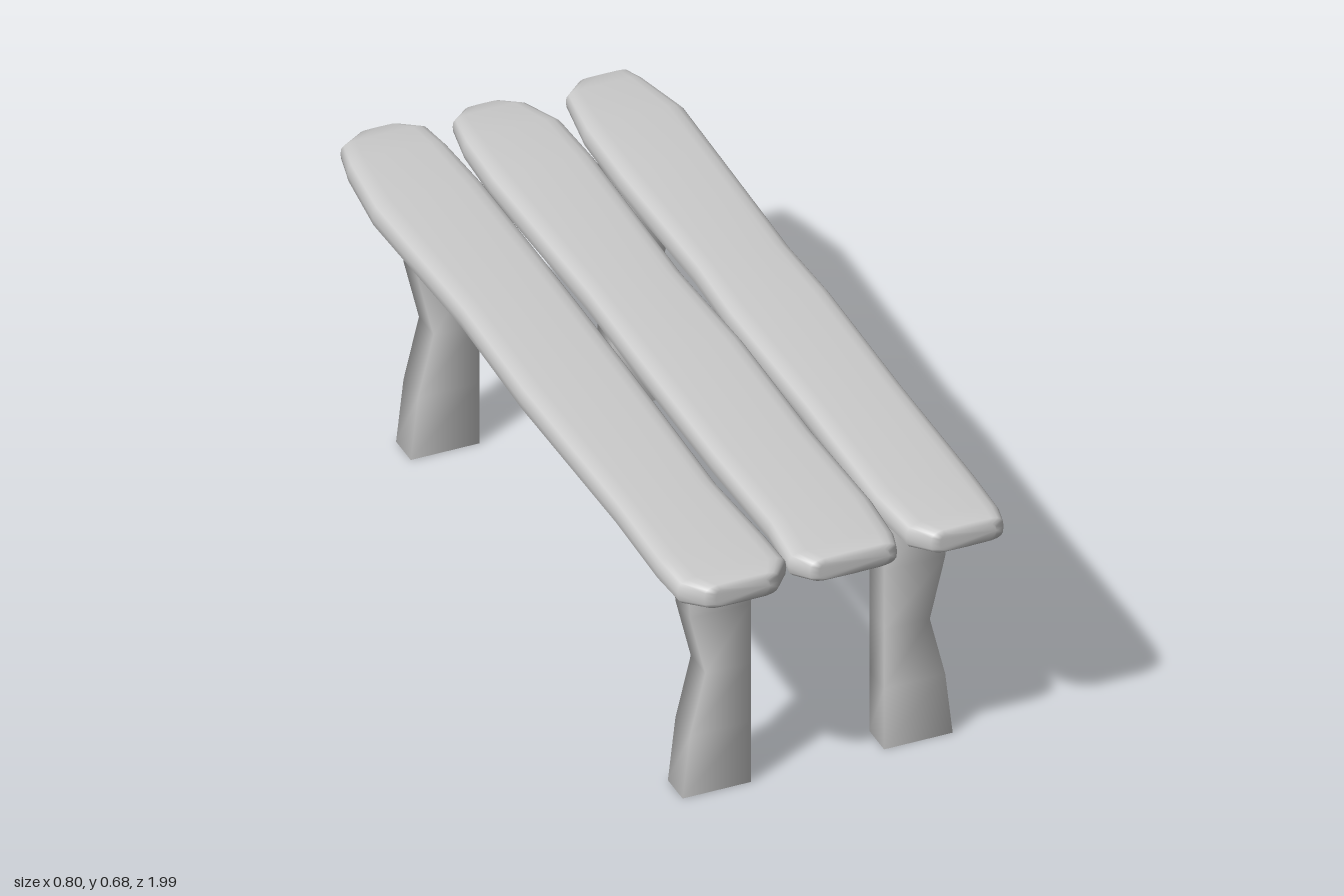
import * as THREE from 'three';

const material = new THREE.MeshStandardMaterial({ color: 0xcccccc, side: THREE.DoubleSide });

// Skin a list of equal-length closed rings, optionally closing both ends
function loft(rings, capped) {
  const n = rings[0].length;
  const pos = rings.flat(2);
  const index = [];
  for (let s = 0; s < rings.length - 1; s++) {
    for (let i = 0; i < n; i++) {
      const a = s * n + i, b = s * n + (i + 1) % n;
      index.push(a, b, b + n, a, b + n, a + n);
    }
  }
  if (capped) {
    const last = (rings.length - 1) * n;
    for (let i = 1; i < n - 1; i++) {
      index.push(0, i + 1, i);
      index.push(last, last + i, last + i + 1);
    }
  }
  const geo = new THREE.BufferGeometry();
  geo.setAttribute('position', new THREE.Float32BufferAttribute(pos, 3));
  geo.setIndex(index);
  geo.computeVertexNormals();
  return geo;
}

// Rounded slab section between the given limits
function plankRing([z, x0, x1, y0, y1]) {
  const sides = 20, ring = [];
  const soft = (v, p) => Math.sign(v) * Math.pow(Math.abs(v), p);
  for (let i = 0; i < sides; i++) {
    const t = (i / sides) * Math.PI * 2;
    ring.push([
      (x0 + x1) / 2 + soft(Math.cos(t), 0.35) * (x1 - x0) / 2,
      (y0 + y1) / 2 + soft(Math.sin(t), 0.6) * (y1 - y0) / 2,
      z,
    ]);
  }
  return ring;
}

// Plank stations: z, left edge, right edge, underside, top
const planks = {
  rightPlank: [
    [-1, -0.30, -0.20, 0.625, 0.66], [-0.96, -0.36, -0.15, 0.615, 0.668],
    [-0.88, -0.378, -0.14, 0.605, 0.674], [-0.7, -0.398, -0.13, 0.602, 0.675],
    [-0.25, -0.385, -0.13, 0.602, 0.674], [0.1, -0.396, -0.134, 0.602, 0.675],
    [0.6, -0.39, -0.145, 0.602, 0.674], [0.84, -0.396, -0.13, 0.602, 0.673],
    [0.94, -0.39, -0.128, 0.602, 0.672], [0.985, -0.345, -0.165, 0.607, 0.668],
    [0.993, -0.32, -0.19, 0.615, 0.66],
  ],
  middlePlank: [
    [-1, -0.045, 0.045, 0.625, 0.655], [-0.96, -0.09, 0.09, 0.615, 0.665],
    [-0.86, -0.108, 0.128, 0.606, 0.674], [-0.7, -0.115, 0.135, 0.603, 0.675],
    [-0.2, -0.105, 0.125, 0.603, 0.674], [0.1, -0.112, 0.138, 0.603, 0.675],
    [0.5, -0.115, 0.132, 0.603, 0.674], [0.8, -0.11, 0.14, 0.603, 0.674],
    [0.94, -0.123, 0.132, 0.604, 0.672], [0.982, -0.09, 0.12, 0.608, 0.668],
    [0.99, -0.07, 0.1, 0.615, 0.66],
  ],
  leftPlank: [
    [-1, 0.23, 0.35, 0.625, 0.655], [-0.95, 0.178, 0.365, 0.615, 0.665],
    [-0.8, 0.155, 0.397, 0.605, 0.674], [-0.6, 0.15, 0.393, 0.602, 0.675],
    [-0.2, 0.156, 0.385, 0.602, 0.674], [0, 0.146, 0.392, 0.602, 0.675],
    [0.4, 0.15, 0.386, 0.602, 0.675], [0.8, 0.145, 0.388, 0.602, 0.674],
    [0.94, 0.16, 0.385, 0.604, 0.672], [0.985, 0.2, 0.375, 0.608, 0.668],
    [0.993, 0.22, 0.355, 0.615, 0.66],
  ],
};

// Leg profile: height, distance of the waisted outer face from the middle
const legProfile = [[0, 0.325], [0.16, 0.307], [0.315, 0.27], [0.47, 0.307], [0.61, 0.314]];

function legGeometry(side, z) {
  const centre = 0.005, inner = 0.16, half = 0.04;
  return loft(legProfile.map(([y, outer]) => {
    const a = centre + side * inner, b = centre + side * outer;
    const x0 = Math.min(a, b), x1 = Math.max(a, b);
    return [[x1, y, z + half], [x1, y, z - half], [x0, y, z - half], [x0, y, z + half]];
  }), false);
}

export function createModel() {
  const bench = new THREE.Group();
  bench.name = 'bench';
  const add = (name, geometry) => {
    const mesh = new THREE.Mesh(geometry, material);
    mesh.name = name;
    bench.add(mesh);
  };

  // Seat planks
  for (const [name, stations] of Object.entries(planks)) {
    add(name, loft(stations.map(plankRing), true));
  }

  // Four hollow legs, open at the foot
  for (const [end, z] of [['front', 0.77], ['back', -0.708]]) {
    for (const [hand, side] of [['Left', 1], ['Right', -1]]) {
      add(`${end}${hand}Leg`, legGeometry(side, z));
    }
  }
  return bench;
}
